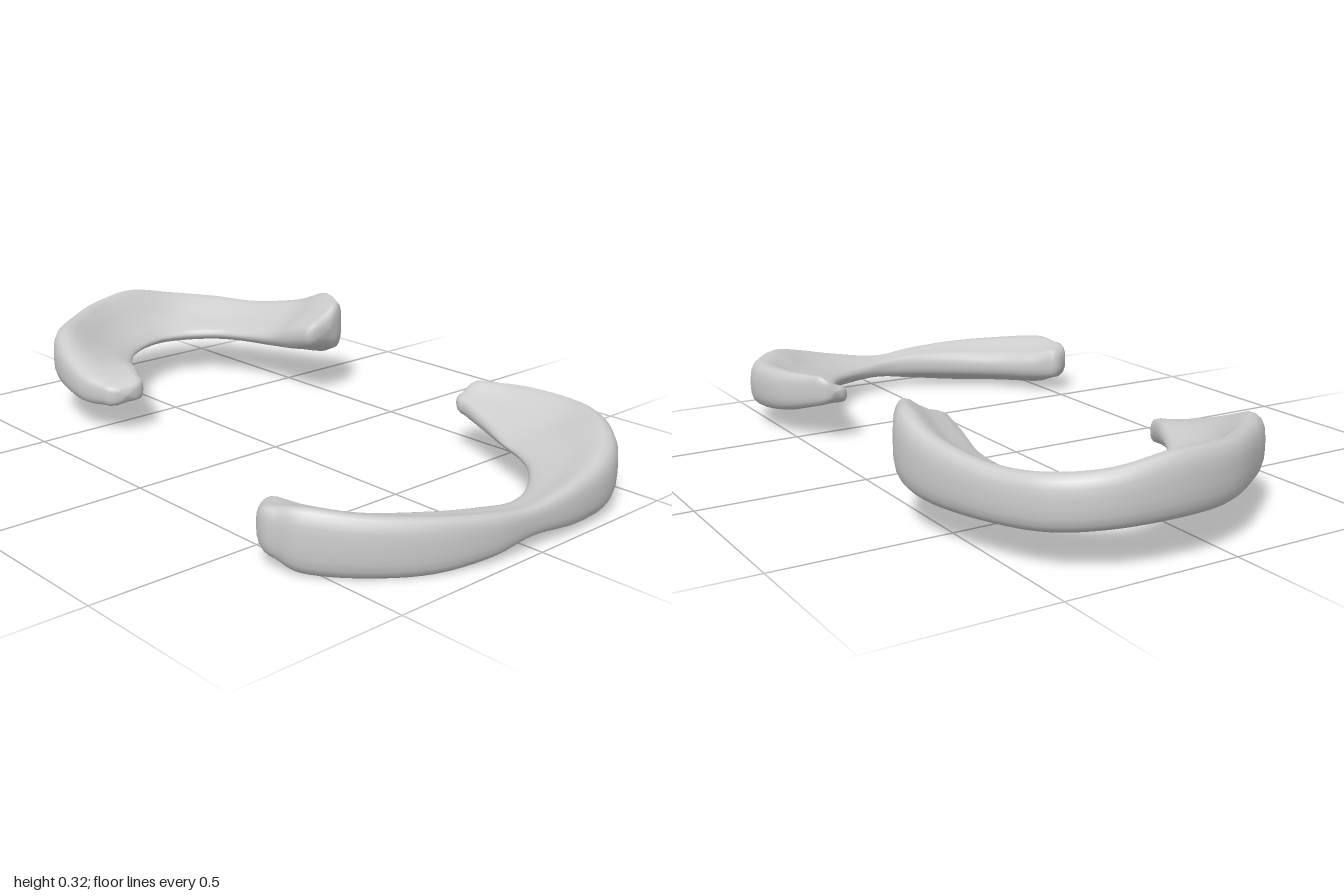
import * as THREE from 'three';

const material = new THREE.MeshStandardMaterial({ color: 0xcccccc, roughness: 0.8 });
const RING = 24; // points around each cross-section
const STEPS = 6; // rings between two stations

// Stations run from the front horn to the back horn:
// outer x, outer z, inner x, inner z, outer bottom y, outer top y, inner bottom y, inner top y
const leftStations = [
  [0.65, 0.575, 0.555, 0.48, 0.035, 0.165, 0.06, 0.15],
  [0.72, 0.55, 0.61, 0.425, 0.01, 0.178, 0.055, 0.13],
  [0.83, 0.45, 0.71, 0.345, 0.005, 0.165, 0.05, 0.12],
  [0.92, 0.31, 0.82, 0.21, 0.005, 0.15, 0.05, 0.12],
  [0.97, 0.15, 0.875, 0.09, 0.02, 0.132, 0.055, 0.115],
  [0.98, 0.0, 0.885, -0.01, 0.038, 0.117, 0.06, 0.105],
  [0.99, -0.18, 0.84, -0.13, 0.022, 0.145, 0.07, 0.105],
  [0.97, -0.33, 0.77, -0.225, 0.02, 0.18, 0.08, 0.115],
  [0.89, -0.45, 0.69, -0.28, 0.035, 0.208, 0.085, 0.12],
  [0.74, -0.555, 0.61, -0.31, 0.06, 0.21, 0.09, 0.125],
  [0.55, -0.55, 0.52, -0.345, 0.085, 0.215, 0.1, 0.145],
  [0.42, -0.48, 0.41, -0.375, 0.12, 0.215, 0.125, 0.17]
];
const rightStations = [
  [-0.44, 0.325, -0.41, 0.195, 0.095, 0.165, 0.11, 0.175],
  [-0.53, 0.35, -0.48, 0.16, 0.09, 0.19, 0.125, 0.185],
  [-0.66, 0.335, -0.57, 0.115, 0.1, 0.235, 0.135, 0.175],
  [-0.77, 0.285, -0.65, 0.06, 0.105, 0.27, 0.135, 0.165],
  [-0.87, 0.17, -0.72, -0.005, 0.11, 0.275, 0.13, 0.16],
  [-0.96, 0.02, -0.77, -0.09, 0.115, 0.285, 0.13, 0.16],
  [-0.99, -0.15, -0.79, -0.18, 0.12, 0.295, 0.13, 0.16],
  [-0.96, -0.33, -0.76, -0.27, 0.115, 0.265, 0.13, 0.165],
  [-0.87, -0.46, -0.69, -0.335, 0.105, 0.25, 0.135, 0.17],
  [-0.72, -0.54, -0.6, -0.37, 0.1, 0.245, 0.14, 0.175],
  [-0.53, -0.595, -0.48, -0.395, 0.1, 0.275, 0.145, 0.195],
  [-0.4, -0.605, -0.38, -0.39, 0.115, 0.32, 0.16, 0.23],
  [-0.31, -0.565, -0.295, -0.385, 0.15, 0.315, 0.185, 0.25]
];

// Wedge section: tall rounded rim outside, dished top, thin edge inside
function sectionPoints([ox, oz, ix, iz, ob, ot, ib, it]) {
  const at = (k, y) => new THREE.Vector3(ox + (ix - ox) * k, y, oz + (iz - oz) * k);
  const mix = THREE.MathUtils.lerp;
  return [
    at(0.03, mix(ob, ot, 0.15)), at(0, mix(ob, ot, 0.5)), at(0.04, mix(ob, ot, 0.87)),
    at(0.18, ot), at(0.55, mix(ot, it, 0.6)), at(0.93, it),
    at(1, mix(ib, it, 0.5)), at(0.94, ib), at(0.55, mix(ob, ib, 0.5)), at(0.15, ob)
  ];
}

function buildCrescent(name, stations, flip, capDepth) {
  // Lengthwise curve through each section point
  const sections = stations.map(sectionPoints);
  const rails = sections[0].map((_, k) =>
    new THREE.CatmullRomCurve3(sections.map(s => s[k]), false, 'catmullrom', 0.5));
  const count = (stations.length - 1) * STEPS;
  const body = [];
  for (let i = 0; i <= count; i++) {
    const loop = new THREE.CatmullRomCurve3(rails.map(r => r.getPoint(i / count)), true);
    body.push(Array.from({ length: RING }, (_, j) => loop.getPoint(j / RING)));
  }
  const centre = ring => ring.reduce((sum, p) => sum.add(p), new THREE.Vector3()).divideScalar(RING);

  // Domed rings that close a horn
  const cap = (end, before) => {
    const c = centre(end);
    const dir = c.clone().sub(centre(before)).normalize();
    return [0.3, 0.55, 0.78, 0.93, 1].map(t => {
      const scale = Math.max(Math.pow(1 - t * t, 0.4), 0.001);
      return end.map(p => p.clone().sub(c).multiplyScalar(scale).add(c).addScaledVector(dir, t * capDepth));
    });
  };
  const rings = [...cap(body[0], body[2]).reverse(), ...body, ...cap(body[count], body[count - 2])];

  const index = [];
  for (let i = 0; i < rings.length - 1; i++) {
    for (let j = 0; j < RING; j++) {
      const a = i * RING + j, b = i * RING + (j + 1) % RING;
      const c = a + RING, d = b + RING;
      if (flip) index.push(a, b, c, b, d, c);
      else index.push(a, c, b, b, c, d);
    }
  }
  const geometry = new THREE.BufferGeometry().setFromPoints(rings.flat());
  geometry.setIndex(index);
  geometry.computeVertexNormals();
  const mesh = new THREE.Mesh(geometry, material);
  mesh.name = name;
  return mesh;
}

export function createModel() {
  const group = new THREE.Group();
  group.name = 'crescentCartilagePair';
  group.add(buildCrescent('leftCrescent', leftStations, false, 0.05));
  group.add(buildCrescent('rightCrescent', rightStations, true, 0.04));
  return group;
}
